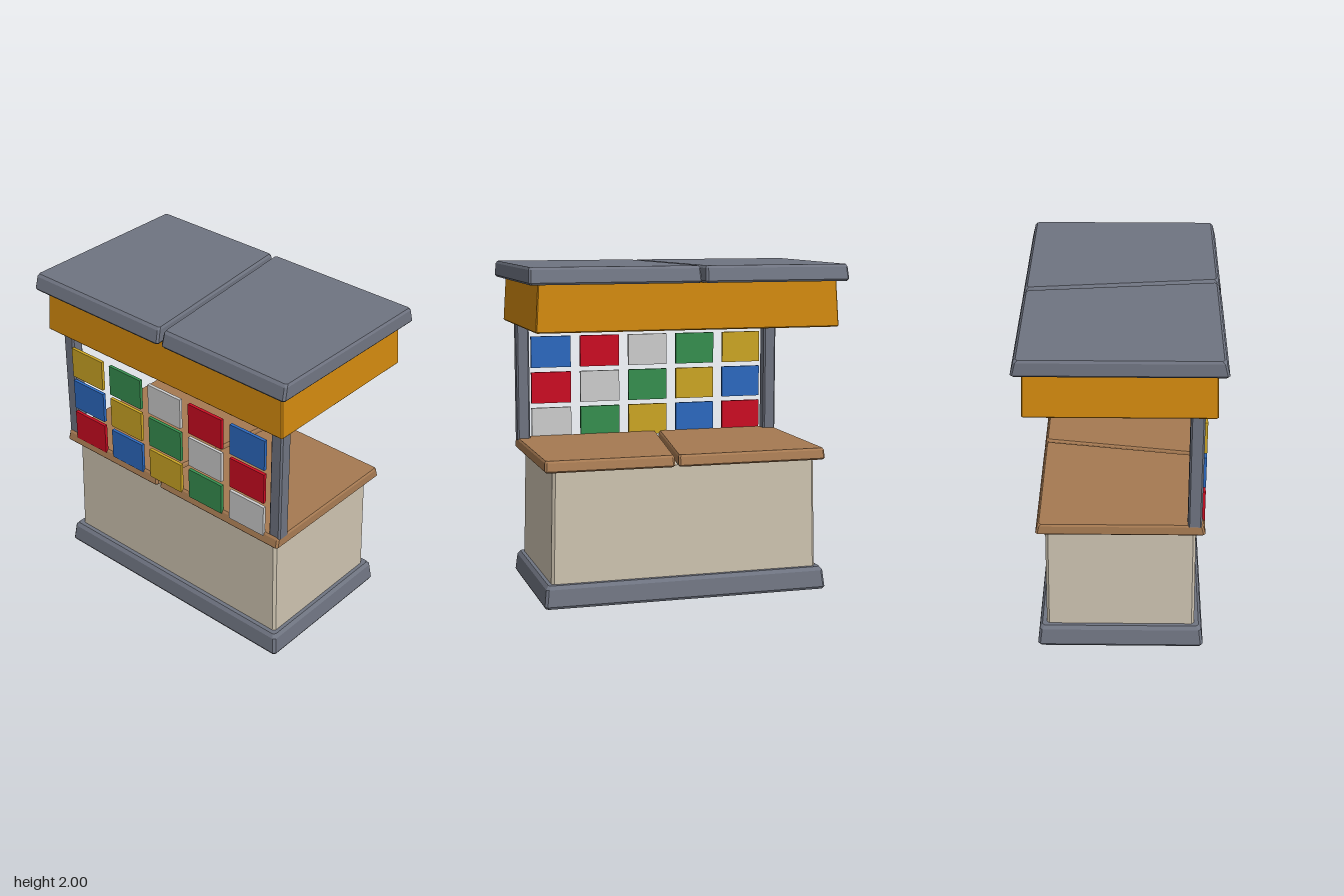
import * as THREE from 'three';

const mat = (name, color) => {
  const m = new THREE.MeshStandardMaterial({ color });
  m.name = name;
  return m;
};

// Solid built from a four-cornered plan (front left, front right, back right, back left).
// Each level is [y, insetX, insetZ]; vertical corners are cut back by `cut`.
function loft(corners, levels, cut) {
  const signs = [[-1, 1], [1, 1], [1, -1], [-1, -1]];
  const pos = [], index = [], n = 8;
  for (const [y, ix, iz] of levels) {
    const ring = corners.map(([x, z], i) =>
      new THREE.Vector2(x - signs[i][0] * ix, z - signs[i][1] * iz));
    ring.forEach((p, i) => {
      for (const q of [ring[(i + 3) % 4], ring[(i + 1) % 4]]) {
        const c = q.clone().sub(p).setLength(cut).add(p);
        pos.push(c.x, y, c.y);
      }
    });
  }
  for (let l = 0; l < levels.length - 1; l++) {
    for (let i = 0; i < n; i++) {
      const a = l * n + i, b = l * n + (i + 1) % n;
      index.push(a, b, b + n, a, b + n, a + n);
    }
  }
  const top = (levels.length - 1) * n;
  for (let i = 1; i < n - 1; i++) {
    index.push(0, i + 1, i, top, top + i, top + i + 1);
  }
  const g = new THREE.BufferGeometry();
  g.setAttribute('position', new THREE.Float32BufferAttribute(pos, 3));
  g.setIndex(index);
  const flat = g.toNonIndexed();
  flat.computeVertexNormals();
  return flat;
}

const rect = (w, d) => [[-w, d], [w, d], [w, -d], [-w, -d]];

export function createModel() {
  const slate = mat('slate', 0x6f7481);
  const orange = mat('orange', 0xd2890f);
  const cream = mat('cream', 0xcdc3b0);
  const wood = mat('wood', 0xa67a52);
  const cards = [
    mat('yellow', 0xcba524), mat('green', 0x368f4f), mat('pale grey', 0xcccccc),
    mat('red', 0xcb0c22), mat('blue', 0x2c69c0),
  ];

  const model = new THREE.Group();
  model.name = 'marketStall';
  const add = (name, geometry, material, parent = model) => {
    const mesh = new THREE.Mesh(geometry, material);
    mesh.name = name;
    parent.add(mesh);
    return mesh;
  };

  // Two slabs separated by a slanted gap; xf is the gap centre at the front edge
  const splitSlab = (name, w, d, xf, gap, levels, material) => {
    const group = new THREE.Group();
    group.name = name;
    add(name + 'RightHalf', loft([[-w, d], [xf - gap, d], [-xf - gap, -d], [-w, -d]], levels, 0.012), material, group);
    add(name + 'LeftHalf', loft([[xf + gap, d], [w, d], [w, -d], [-xf + gap, -d]], levels, 0.012), material, group);
    model.add(group);
  };

  // Plinth and counter body
  add('plinth', loft(rect(0.88, 0.5),
    [[0, 0.008, 0.008], [0.015, 0, 0], [0.115, 0.012, 0.012], [0.137, 0.028, 0.028]], 0.015), slate);
  add('counterBody', loft(rect(0.83, 0.446), [[0.13, 0, 0], [0.815, 0.016, 0.006]], 0.016), cream);

  // Worktop boards
  splitSlab('worktop', 0.87, 0.494, -0.075, 0.01,
    [[0.81, 0.01, 0.008], [0.82, 0, 0], [0.868, 0.003, 0.012], [0.88, 0.01, 0.022]], wood);

  // Front posts
  for (const side of [-1, 1]) {
    const post = add(side < 0 ? 'rightPost' : 'leftPost',
      loft(rect(0.041, 0.041), [[0.87, 0, 0], [1.64, 0, 0]], 0.01), slate);
    post.position.set(side * 0.828, 0, 0.431);
  }

  // Rows of coloured display cards between the posts
  const display = new THREE.Group();
  display.name = 'displayCards';
  model.add(display);
  const cardGeometry = new THREE.BoxGeometry(0.258, 0.2, 0.02);
  for (let row = 0; row < 3; row++) {
    for (let col = 0; col < 5; col++) {
      const card = add(`card${row + 1}_${col + 1}`, cardGeometry, cards[(col - row + 5) % 5], display);
      card.position.set(-0.01 + (col - 2) * 0.321, 1.42 - row * 0.23, 0.481);
    }
  }

  // Awning box and roof boards
  add('awning', loft(rect(0.922, 0.541),
    [[1.625, 0.006, 0.006], [1.632, 0, 0], [1.9, 0.016, 0.009]], 0.006), orange);
  splitSlab('roof', 0.967, 0.59, 0.062, 0.012,
    [[1.9, 0.01, 0.008], [1.912, 0, 0], [1.985, 0.004, 0.018], [2.0, 0.012, 0.032]], slate);

  return model;
}
